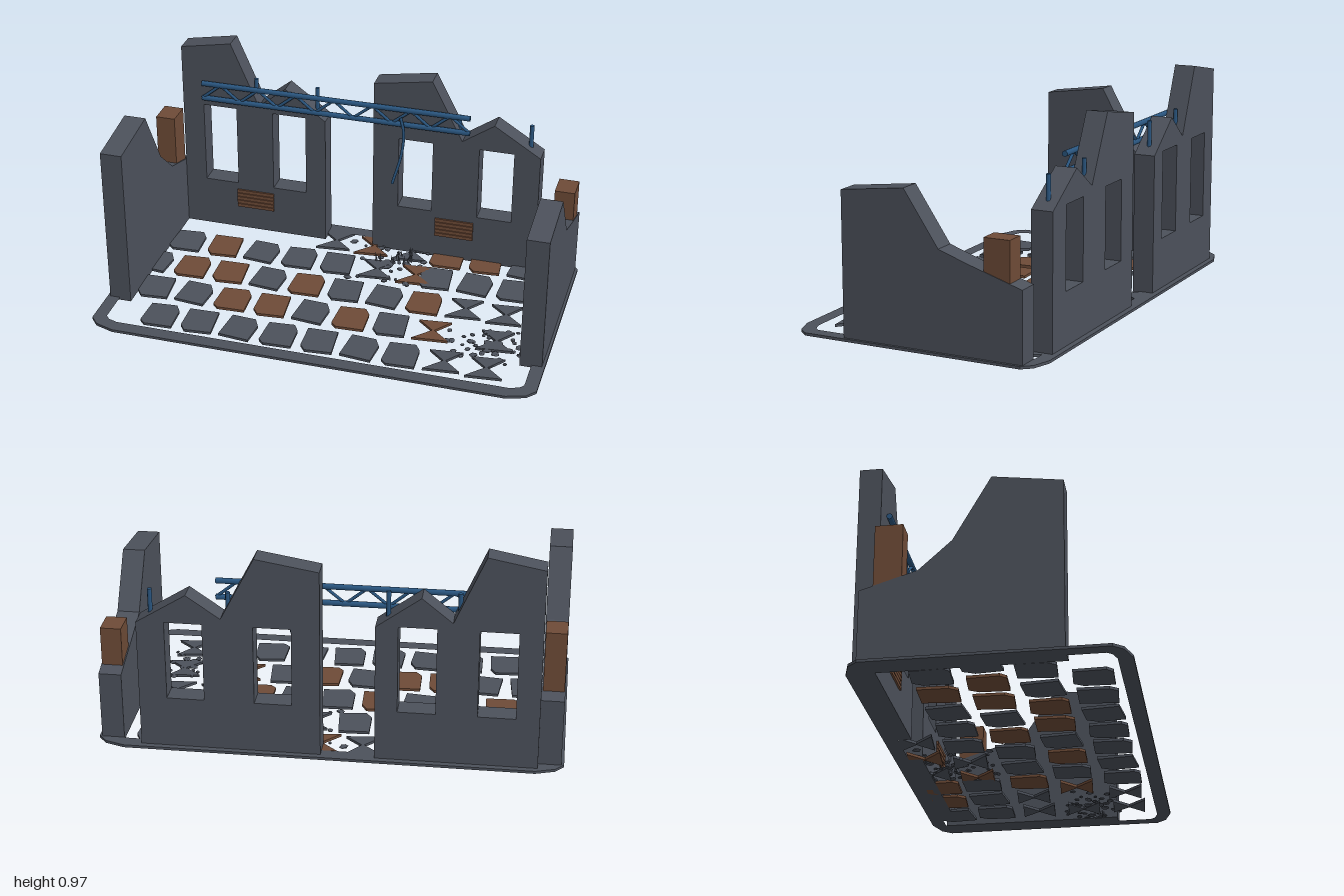
import * as THREE from 'three';

const concrete = new THREE.MeshStandardMaterial({ color: 0x4c515b });
concrete.name = 'concrete grey';
const rust = new THREE.MeshStandardMaterial({ color: 0x6e4b37 });
rust.name = 'rust brown';
const steel = new THREE.MeshStandardMaterial({ color: 0x2a5680 });
steel.name = 'steel blue';

const polygon = (pts) => new THREE.Shape(pts.map(([x, y]) => new THREE.Vector2(x, y)));
const extrude = (shape, depth) => new THREE.ExtrudeGeometry(shape, { depth, bevelEnabled: false });

function add(parent, name, geometry, material, x = 0, y = 0, z = 0) {
  const mesh = new THREE.Mesh(geometry, material);
  mesh.name = name;
  mesh.position.set(x, y, z);
  parent.add(mesh);
  return mesh;
}

// Straight round bar between two points
function bar(parent, name, a, b, radius) {
  const from = new THREE.Vector3(...a), to = new THREE.Vector3(...b);
  const dir = to.clone().sub(from);
  const mesh = add(parent, name, new THREE.CylinderGeometry(radius, radius, dir.length(), 8), steel);
  mesh.position.copy(from).add(to).multiplyScalar(0.5);
  mesh.quaternion.setFromUnitVectors(new THREE.Vector3(0, 1, 0), dir.normalize());
}

function seeded(seed) {
  return () => {
    seed = (seed * 16807) % 2147483647;
    return seed / 2147483647;
  };
}

// Broken wall panel with two window openings
function wallPanel(parent, name, top, windows, sill, head) {
  const x0 = top[0][0], x1 = top[top.length - 1][0];
  const shape = polygon([[x0, 0], [x1, 0], ...[...top].reverse()]);
  for (const [a, b] of windows) {
    shape.holes.push(polygon([[a, sill], [a, head], [b, head], [b, sill]]));
  }
  add(parent, name, extrude(shape, 0.095), concrete, 0, 0, -0.54);
}

// Side wall, profile given as z and y
function sideWall(parent, name, xMax, top) {
  const geo = extrude(polygon([[-0.5, 0], [0.315, 0], ...top]), 0.098);
  geo.rotateY(-Math.PI / 2);
  add(parent, name, geo, concrete, xMax);
}

// Flat floor piece, outline given as x and z
function floorPiece(parent, name, outline, material, x = 0, z = 0, hole) {
  const flip = (pts) => polygon(pts.map(([px, pz]) => [px, -pz]));
  const shape = flip(outline);
  if (hole) shape.holes.push(flip(hole));
  const geo = extrude(shape, 0.012);
  geo.rotateX(-Math.PI / 2);
  return add(parent, name, geo, material, x, 0, z);
}

export function createModel() {
  const model = new THREE.Group();
  model.name = 'ruinedBuilding';

  // Back walls
  wallPanel(model, 'backWallRight',
    [[-0.89, 0.92], [-0.65, 0.965], [-0.52, 0.665], [-0.39, 0.77], [-0.2, 0.63]],
    [[-0.79, -0.63], [-0.455, -0.295]], 0.24, 0.635);
  wallPanel(model, 'backWallLeft',
    [[0.03, 0.86], [0.3, 0.905], [0.445, 0.625], [0.59, 0.725], [0.805, 0.59]],
    [[0.15, 0.31], [0.525, 0.685]], 0.24, 0.595);

  // Side walls
  sideWall(model, 'sideWallRight', -0.89,
    [[0.315, 0.745], [0.025, 0.785], [-0.13, 0.51], [-0.265, 0.387], [-0.5, 0.314]]);
  sideWall(model, 'sideWallLeft', 0.988,
    [[0.315, 0.63], [0.025, 0.665], [-0.13, 0.435], [-0.26, 0.39], [-0.5, 0.315]]);

  // Rusted corner posts standing in the side walls
  for (const [x, top, name] of [[-0.94, 0.6, 'postRight'], [0.94, 0.505, 'postLeft']]) {
    add(model, name, new THREE.BoxGeometry(0.09, top - 0.1, 0.115), rust, x, (top + 0.1) / 2, -0.387);
  }

  // Louvred vents
  for (const x of [-0.545, 0.42]) {
    const vent = new THREE.Group();
    vent.name = 'vent';
    for (let i = 0; i < 5; i++) {
      add(vent, 'ventSlat', new THREE.BoxGeometry(0.18, 0.016, 0.009), rust, x, 0.123 + i * 0.019, -0.441);
    }
    model.add(vent);
  }

  // Fallen roof truss
  const truss = new THREE.Group();
  truss.name = 'truss';
  const lowY = 0.678, highY = 0.752, trussZ = -0.433;
  for (const y of [lowY, highY]) bar(truss, 'trussChord', [-0.79, y, trussZ], [0.48, y, trussZ], 0.013);
  const step = 1.27 / 14;
  for (let i = 0; i < 14; i++) {
    const x = -0.79 + i * step, up = i % 2 === 0;
    bar(truss, 'trussWeb', [x, up ? lowY : highY, trussZ], [x + step, up ? highY : lowY, trussZ], 0.007);
  }
  model.add(truss);

  // Reinforcing bars
  for (const [x, top] of [[-0.545, 0.78], [-0.25, 0.775], [0.42, 0.73], [0.75, 0.727]]) {
    bar(model, 'rebarStub', [x, top - 0.15, -0.493], [x, top, -0.493], 0.01);
  }
  const bend = new THREE.CatmullRomCurve3([
    [0.165, 0.725, -0.41], [0.182, 0.65, -0.405], [0.175, 0.54, -0.393], [0.14, 0.4, -0.372],
  ].map((p) => new THREE.Vector3(...p)));
  add(model, 'bentRebar', new THREE.TubeGeometry(bend, 12, 0.007, 6), steel);

  // Floor rim
  const ring = (w, d, cx, cz) => [
    [-w, -d + cz], [-w + cx * 0.3, -d + cz * 0.4], [-w + cx, -d], [w - cx, -d], [w - cx * 0.3, -d + cz * 0.4], [w, -d + cz],
    [w, d - cz], [w - cx * 0.3, d - cz * 0.4], [w - cx, d], [-w + cx, d], [-w + cx * 0.3, d - cz * 0.4], [-w, d - cz],
  ];
  floorPiece(model, 'floorRim', ring(1, 0.565, 0.12, 0.07), concrete, 0, 0, ring(0.942, 0.503, 0.06, 0.035));

  // Floor tiles by row: g grey, r rusted, G and R cracked in two
  const whole = [
    [[-0.07, -0.075], [0.045, -0.085], [0.07, -0.045], [0.075, 0.08], [-0.05, 0.085], [-0.075, 0.06]],
    [[-0.075, -0.08], [0.06, -0.085], [0.075, 0.075], [-0.045, 0.085], [-0.072, 0.05]],
    [[-0.06, -0.085], [0.05, -0.078], [0.075, -0.03], [0.065, 0.085], [-0.075, 0.07]],
  ];
  const cracked = [
    [[-0.075, -0.07], [0.07, -0.085], [0.005, 0]],
    [[0.005, -0.01], [0.085, 0.06], [-0.075, 0.075]],
  ];
  const rows = [
    [0.39, -0.715, 'gggggggGG'],
    [0.18, -0.815, 'ggrrgrgRG'],
    [-0.03, -0.9, 'grrgrggrGG'],
    [-0.24, -0.815, 'grgggGR'],
    [-0.24, 0.39, 'ggg'],
    [-0.43, -0.145, 'GRG'],
    [-0.43, 0.4, 'rrg'],
  ];
  const floor = new THREE.Group();
  floor.name = 'floorTiles';
  rows.forEach(([z, x0, kinds], r) => {
    [...kinds].forEach((kind, i) => {
      const material = kind.toLowerCase() === 'r' ? rust : concrete;
      // The second row skips a gap before its last cracked tile
      const x = x0 + i * 0.184 + (r === 1 && i === 8 ? 0.1 : 0);
      const pieces = kind === kind.toUpperCase() ? cracked : [whole[(i + r) % 3]];
      for (const piece of pieces) floorPiece(floor, 'floorTile', piece, material, x, z);
    });
  });
  model.add(floor);

  // Rubble: flat pebbles with a few upright shards
  const random = seeded(41);
  const spread = () => random() + random() - 1;
  const pebble = new THREE.IcosahedronGeometry(1, 0);
  const shard = new THREE.ConeGeometry(1, 1, 4);
  const piles = [
    { x: 0.14, z: -0.3, w: 0.24, d: 0.2, sx: 0.18, sz: -0.35, sw: 0.11, shards: 12, count: 50 },
    { x: 0.76, z: 0.22, w: 0.24, d: 0.17, sx: 0.9, sz: 0.2, sw: 0.03, shards: 5, count: 50 },
  ];
  for (const p of piles) {
    const pile = new THREE.Group();
    pile.name = 'rubblePile';
    for (let i = 0; i < p.count; i++) {
      const stone = add(pile, 'pebble', pebble, concrete, p.x + spread() * p.w, 0.007, p.z + spread() * p.d);
      const s = 0.007 + random() * 0.011;
      stone.scale.set(s * 1.3, 0.006, s);
      stone.rotation.y = random() * 6;
    }
    for (let i = 0; i < p.shards; i++) {
      const h = 0.03 + random() * 0.045;
      const spike = add(pile, 'shard', shard, concrete, p.sx + spread() * p.sw, h / 2, p.sz + spread() * 0.08);
      spike.scale.set(0.008, h, 0.006);
      spike.rotation.set(0, random() * 3, spread() * 0.4);
    }
    model.add(pile);
  }

  return model;
}
